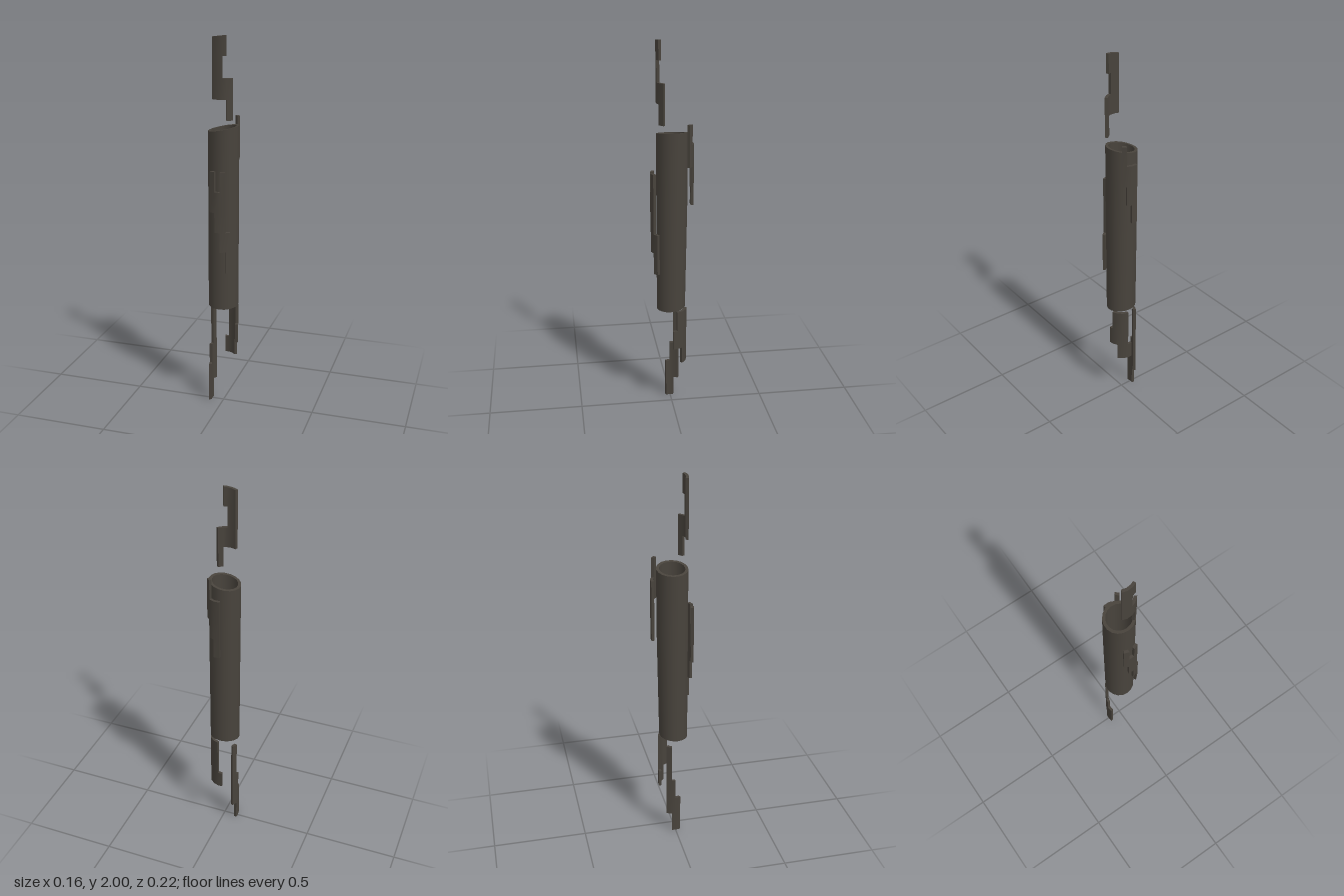
import * as THREE from 'three';
import { toCreasedNormals } from 'three/addons/utils/BufferGeometryUtils.js';

const WALL = 0.015;

// Curved shell cut to a cell pattern. Angles (degrees) run from +z towards +x,
// levels run from top to bottom, '#' marks a solid cell.
function shell({ angles, radii, levels, rows, closed = false, warp = null }) {
  const n = angles.length - 1;
  const pos = [];
  const point = (c, l, inner) => {
    const a = THREE.MathUtils.degToRad(angles[c]);
    const r = (Array.isArray(radii) ? radii[c] : radii) - (inner ? WALL : 0);
    const p = new THREE.Vector3(r * Math.sin(a), levels[l], r * Math.cos(a));
    if (warp) warp(p, l);
    return p;
  };
  const quad = (a, b, c, d) => {
    for (const p of [a, b, c, a, c, d]) pos.push(p.x, p.y, p.z);
  };
  const solid = (row, col) => {
    const c = closed ? (col + n) % n : col;
    return rows[row]?.[c] === '#';
  };
  for (let r = 0; r < rows.length; r++) {
    for (let c = 0; c < n; c++) {
      if (!solid(r, c)) continue;
      // o = outer, i = inner; t/b = top/bottom; 0/1 = start/end angle
      const ot0 = point(c, r, false), ot1 = point(c + 1, r, false);
      const ob0 = point(c, r + 1, false), ob1 = point(c + 1, r + 1, false);
      const it0 = point(c, r, true), it1 = point(c + 1, r, true);
      const ib0 = point(c, r + 1, true), ib1 = point(c + 1, r + 1, true);
      quad(ob0, ob1, ot1, ot0);
      quad(ib1, ib0, it0, it1);
      if (!solid(r - 1, c)) quad(ot0, ot1, it1, it0);
      if (!solid(r + 1, c)) quad(ib0, ib1, ob1, ob0);
      if (!solid(r, c - 1)) quad(ib0, ob0, ot0, it0);
      if (!solid(r, c + 1)) quad(ob1, ib1, it1, ot1);
    }
  }
  const geometry = new THREE.BufferGeometry();
  geometry.setAttribute('position', new THREE.Float32BufferAttribute(pos, 3));
  return toCreasedNormals(geometry, 0.6);
}

export function createModel() {
  const model = new THREE.Group();
  model.name = 'brokenTube';
  const darkMetal = new THREE.MeshStandardMaterial({ color: 0x48433c });
  darkMetal.name = 'dark metal';

  const add = (name, spec) => {
    const mesh = new THREE.Mesh(shell(spec), darkMetal);
    mesh.name = name;
    model.add(mesh);
  };

  // Hollow main tube with slightly slanted ends, narrowing at the lower back
  const SIDES = 18;
  add('mainTube', {
    angles: Array.from({ length: SIDES + 1 }, (_, i) => (i * 360) / SIDES),
    radii: 0.08,
    levels: [1.53, 1.2, 0.577],
    rows: ['#'.repeat(SIDES), '#'.repeat(SIDES)],
    closed: true,
    warp: (p, level) => {
      if (level === 0) p.y += 0.19 * p.x;
      if (level === 2) p.y -= 0.09 * p.z;
      if (p.z < 0) p.z *= level === 2 ? 0.9 : 1.03;
    },
  });

  // Stepped plate floating in front of the tube
  add('frontPlate', {
    angles: [-23, -8, 7, 22, 37],
    radii: [0.109, 0.111, 0.111, 0.108, 0.103],
    levels: [1.325, 1.22, 1.11, 1.005, 0.9, 0.785],
    rows: ['#.#.', '###.', '.##.', '..##', '...#'],
  });

  // Stepped plate floating behind the tube
  add('backPlate', {
    angles: [144, 157, 171, 187],
    radii: [0.104, 0.109, 0.113, 0.112],
    levels: [1.58, 1.475, 1.36, 1.255, 1.15],
    rows: ['#..', '###', '.##', '..#'],
  });

  // Hooked fragment above the tube
  add('topFragment', {
    angles: [-28, -8, 12, 28, 52],
    radii: 0.08,
    levels: [1.995, 1.9, 1.79, 1.685, 1.58],
    rows: ['###.', '##..', '####', '...#'],
    warp: (p, level) => {
      if (level === 0) p.y += 0.13 * p.x;
    },
  });

  // Fragment below the tube, wrapping from the side to the back
  add('upperBottomFragment', {
    angles: [90, 105, 127, 149, 171, 189],
    radii: 0.079,
    levels: [0.57, 0.46, 0.355, 0.263],
    rows: ['.###.', '####.', '..###'],
  });

  // Lowest fragment on the other side
  add('lowerBottomFragment', {
    angles: [-127, -105, -90, -70],
    radii: 0.08,
    levels: [0.54, 0.325, 0.215, 0.11, 0],
    rows: ['#..', '##.', '###', '.##'],
  });

  return model;
}
